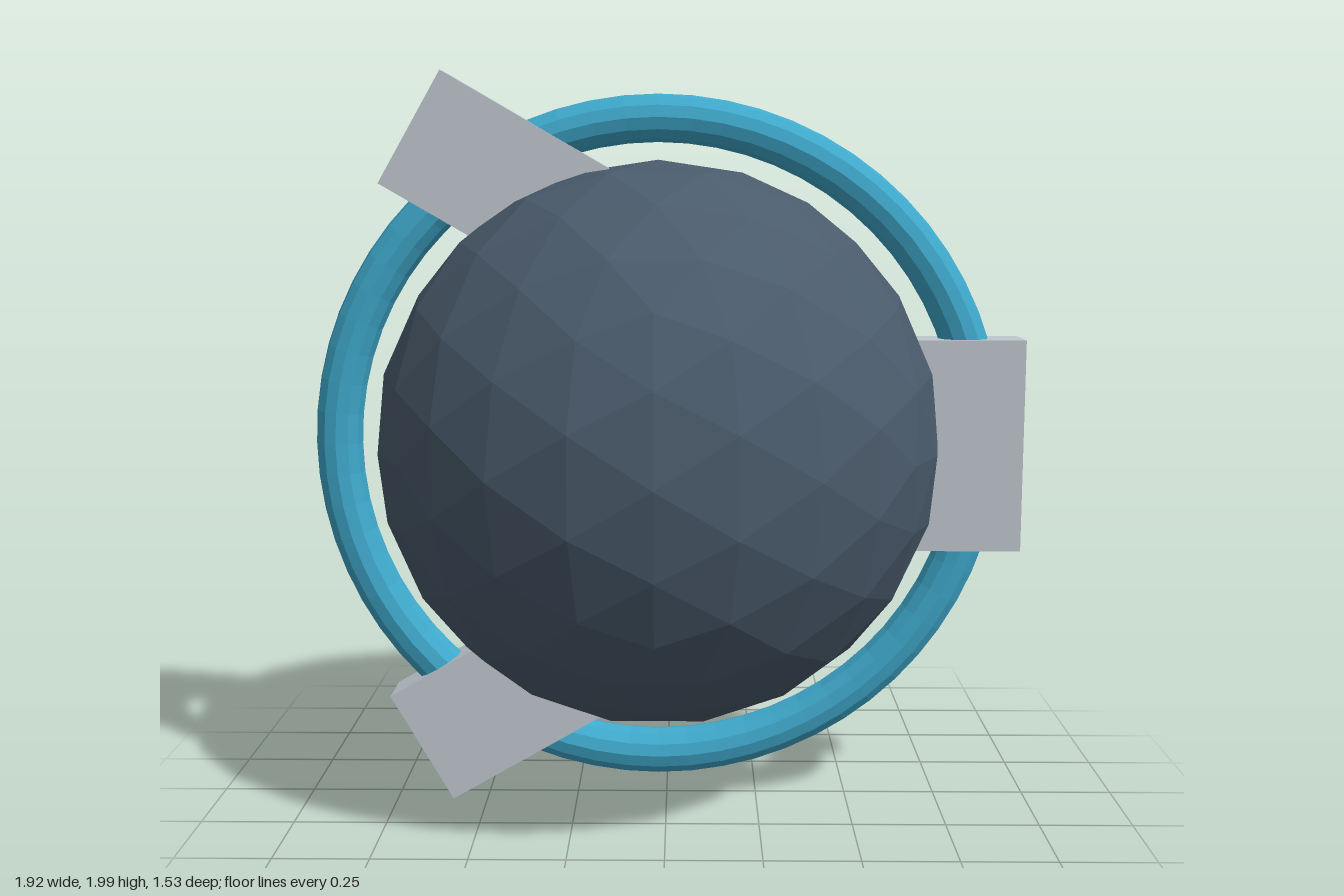
import * as THREE from 'three';

const CENTER = new THREE.Vector3(-0.023, 1, 0);
const BRACKET_RADIUS = 0.815;

function addPart(parent, name, geometry, color) {
  const material = new THREE.MeshStandardMaterial({ color, flatShading: true });
  const mesh = new THREE.Mesh(geometry, material);
  mesh.name = name;
  parent.add(mesh);
  return mesh;
}

export function createModel() {
  const model = new THREE.Group();
  model.name = 'ringedSphere';

  const body = new THREE.Group();
  body.name = 'body';
  body.position.copy(CENTER);
  model.add(body);

  // Faceted core
  addPart(body, 'core', new THREE.IcosahedronGeometry(0.765, 3), 0x4a5b6c);

  // Upright ring around the core
  addPart(body, 'ring', new THREE.TorusGeometry(0.875, 0.0635, 12, 64), 0x3fa9cc);

  // Three blocks spaced evenly on the ring, each turned against its own angle
  const blockGeometry = new THREE.BoxGeometry(0.34, 0.575, 0.14);
  for (let i = 0; i < 3; i++) {
    const angle = (i * Math.PI * 2) / 3;
    const block = addPart(body, `bracket${i + 1}`, blockGeometry, 0xc0c8d0);
    block.position.set(Math.cos(angle) * BRACKET_RADIUS, Math.sin(angle) * BRACKET_RADIUS, 0);
    block.rotation.z = -angle;
  }

  return model;
}
